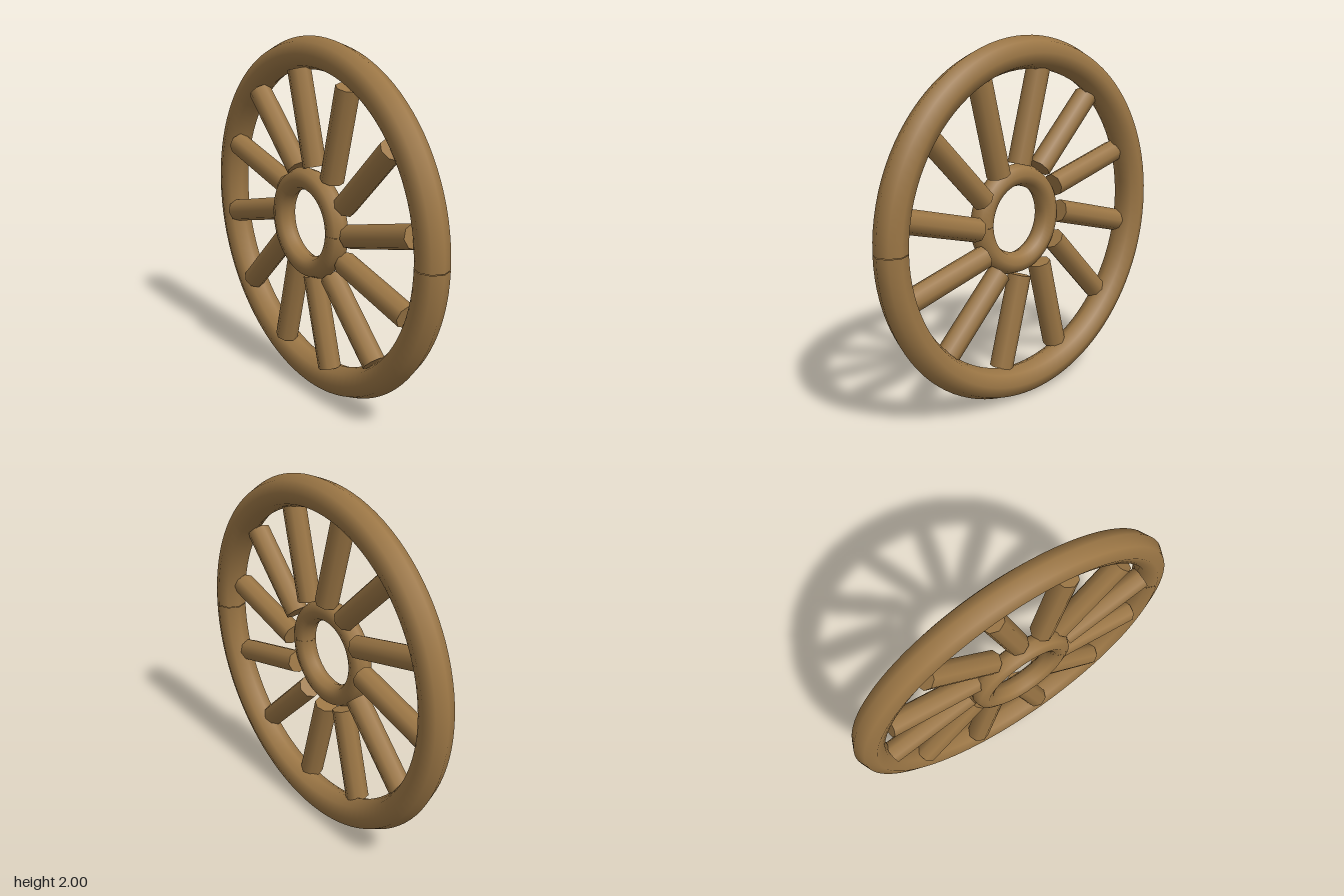
import * as THREE from 'three';

const SPOKES = 12;
const LEAN = THREE.MathUtils.degToRad(15.7); // each spoke leans off its radius

export function createModel() {
  const model = new THREE.Group();
  model.name = 'spokedWheel';
  const wood = new THREE.MeshStandardMaterial({ color: 0x9b7645, side: THREE.DoubleSide });

  const wheel = new THREE.Group();
  wheel.name = 'wheel';
  wheel.position.y = 1;
  model.add(wheel);

  // Ring with a hairline joint at its right-hand end
  const addRing = (name, radius, tube, z, segments) => {
    const ring = new THREE.Mesh(new THREE.TorusGeometry(radius, tube, 8, segments, 6.28), wood);
    ring.name = name;
    ring.position.z = z;
    wheel.add(ring);
  };
  addRing('rim', 0.912, 0.088, -0.022, 100);
  addRing('hub', 0.247, 0.062, 0.05, 64);

  // Round spokes, each starting on the hub and leaning the same way round
  const length = 0.528;
  const spokeGeometry = new THREE.CylinderGeometry(0.065, 0.065, length, 8);
  spokeGeometry.rotateZ(-Math.PI / 2);
  spokeGeometry.translate(length / 2, 0, 0);
  for (let i = 0; i < SPOKES; i++) {
    const angle = (i / SPOKES) * Math.PI * 2;
    const spoke = new THREE.Mesh(spokeGeometry, wood);
    spoke.name = `spoke${i + 1}`;
    spoke.position.set(0.311 * Math.cos(angle), 0.311 * Math.sin(angle), 0.015);
    spoke.rotation.z = angle + LEAN;
    wheel.add(spoke);
  }
  return model;
}
